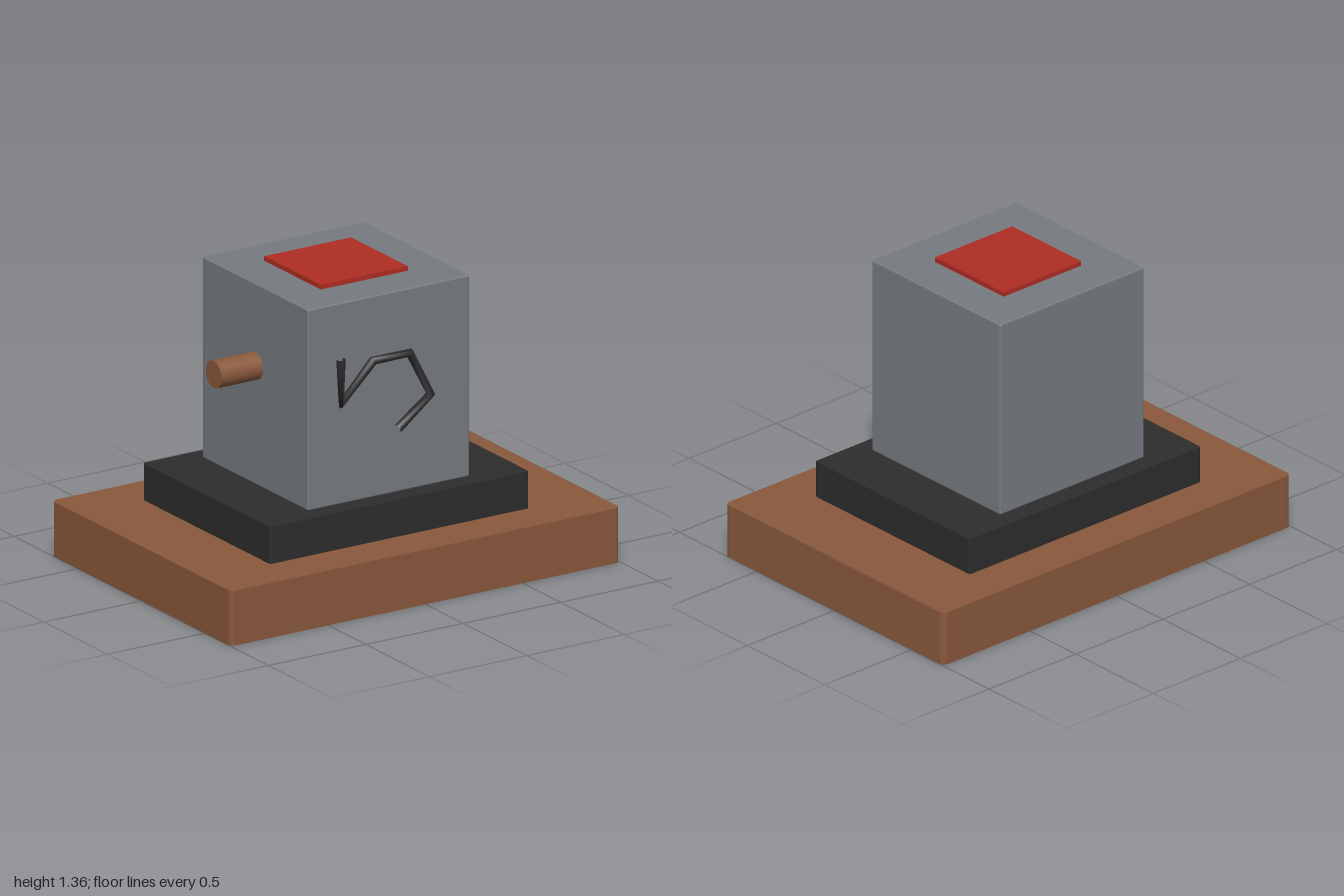
import * as THREE from 'three';
import { RoundedBoxGeometry } from 'three/addons/geometries/RoundedBoxGeometry.js';

const material = (name, color) => {
  const m = new THREE.MeshStandardMaterial({ color });
  m.name = name;
  return m;
};

// Slab with rounded upright corners and crisp top and bottom edges
function slab(width, depth, height, r) {
  const x = width / 2, z = depth / 2;
  const s = new THREE.Shape();
  s.moveTo(-x + r, -z);
  s.lineTo(x - r, -z);
  s.absarc(x - r, -z + r, r, -Math.PI / 2, 0);
  s.absarc(x - r, z - r, r, 0, Math.PI / 2);
  s.absarc(-x + r, z - r, r, Math.PI / 2, Math.PI);
  s.absarc(-x + r, -z + r, r, Math.PI, Math.PI * 1.5);
  const g = new THREE.ExtrudeGeometry(s, { depth: height, bevelEnabled: false, curveSegments: 4 });
  return g.rotateX(-Math.PI / 2);
}

// Straight runs between points, mitred at each corner
class BentPath extends THREE.Curve {
  constructor(points) {
    super();
    this.points = points;
  }
  getPoint(t, target = new THREE.Vector3()) {
    const n = this.points.length - 1;
    const i = Math.min(Math.floor(t * n + 1e-9), n - 1);
    return target.lerpVectors(this.points[i], this.points[i + 1], t * n - i);
  }
  getPointAt(t, target) { return this.getPoint(t, target); }
  getTangentAt(t, target) { return this.getTangent(t, target); }
}

export function createModel() {
  const model = new THREE.Group();
  const wood = material('brown wood', 0x8a593c);
  const black = material('black', 0x2d2d2d);
  const grey = material('grey metal', 0x777b80);
  const red = material('red', 0xb02d23);
  const blackOpen = black;
  blackOpen.side = THREE.DoubleSide;

  const add = (name, geometry, mat, x, y, z) => {
    const mesh = new THREE.Mesh(geometry, mat);
    mesh.name = name;
    mesh.position.set(x, y, z);
    model.add(mesh);
  };

  // Stepped base
  add('base', slab(2, 1.41, 0.25, 0.025), wood, 0, 0, 0);
  add('plinth', slab(1.33, 1, 0.168, 0.012), black, 0, 0.25, 0);

  // Body with a square plate on top
  add('body', new RoundedBoxGeometry(0.83, 0.917, 0.83, 2, 0.008), grey, 0, 0.8765, 0);
  add('topPlate', new THREE.BoxGeometry(0.446, 0.022, 0.446), red, 0, 1.345, 0);

  // Side handle
  const handle = new THREE.CylinderGeometry(0.062, 0.062, 0.24, 24).rotateZ(Math.PI / 2);
  add('handle', handle, wood, -0.508, 0.96, 0);

  // Bent rod on the front face
  const bends = [[-0.253, 1.082], [-0.252, 0.88], [-0.088, 1.045], [0.1, 1.045], [0.207, 0.838], [0.04, 0.712]]
    .map(([x, y]) => new THREE.Vector3(x, y, 0));
  add('frontRod', new THREE.TubeGeometry(new BentPath(bends), 5, 0.021, 8), black, 0, 0, 0.426);

  return model;
}
